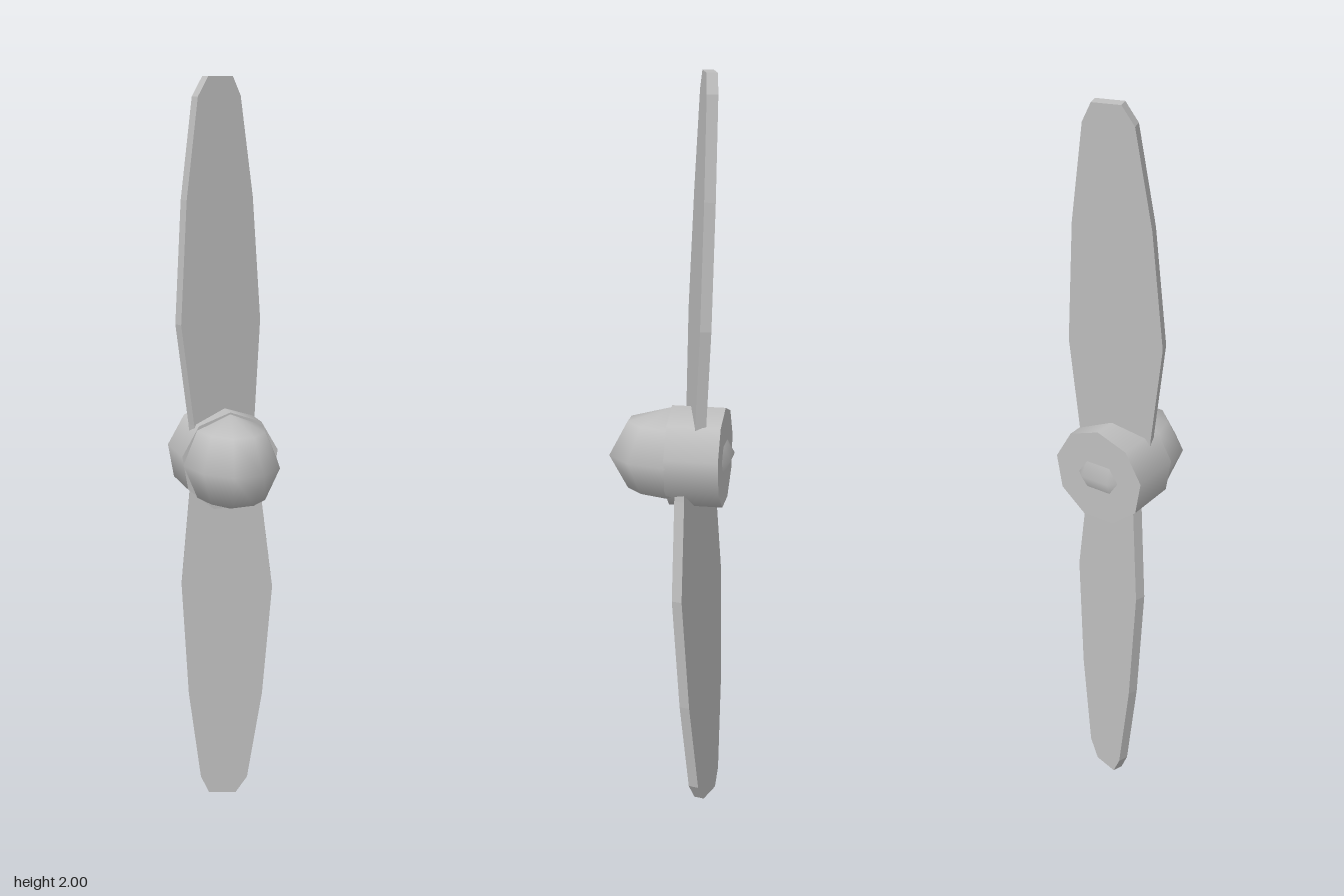
import * as THREE from 'three';

export function createModel() {
  const model = new THREE.Group();
  const grey = new THREE.MeshStandardMaterial({ color: 0xbfbfbf });
  grey.name = 'grey';

  function add(name, geometry) {
    const mesh = new THREE.Mesh(geometry, grey);
    mesh.name = name;
    mesh.position.y = 1;
    model.add(mesh);
    return mesh;
  }

  // nine-sided hub, one corner up, axis along z
  const hub = new THREE.CylinderGeometry(0.135, 0.135, 0.143, 9);
  hub.rotateX(-Math.PI / 2).translate(0, 0, -0.0715);
  add('hub', hub);

  // faceted spinner, its rear tip pokes through the back of the hub
  const spinner = new THREE.SphereGeometry(1, 10, 4);
  spinner.scale(0.13, 0.13, 0.171);
  add('spinner', spinner);

  // blade outline, seen from the front, measured from the hub centre
  const pitch = 0.285, lean = -0.035, thickness = 0.029;
  const outline = [
    [-0.087, 0.03], [0.085, 0.03], [0.092, 0.1], [0.112, 0.365], [0.092, 0.69],
    [0.058, 0.95], [0.035, 1.0], [-0.037, 1.0], [-0.068, 0.95],
    [-0.105, 0.69], [-0.127, 0.37], [-0.093, 0.1],
  ].map(([x, y]) => new THREE.Vector2(x / Math.cos(pitch), y));
  const bladeGeometry = new THREE.ExtrudeGeometry(new THREE.Shape(outline), {
    depth: thickness, bevelEnabled: false,
  });
  bladeGeometry.translate(0, 0, -thickness);
  bladeGeometry.rotateY(pitch).rotateX(lean).translate(0, 0, -0.046);

  // two blades, half a turn apart
  ['upperBlade', 'lowerBlade'].forEach((name, i) => {
    add(name, bladeGeometry).rotation.z = i * Math.PI;
  });

  return model;
}
